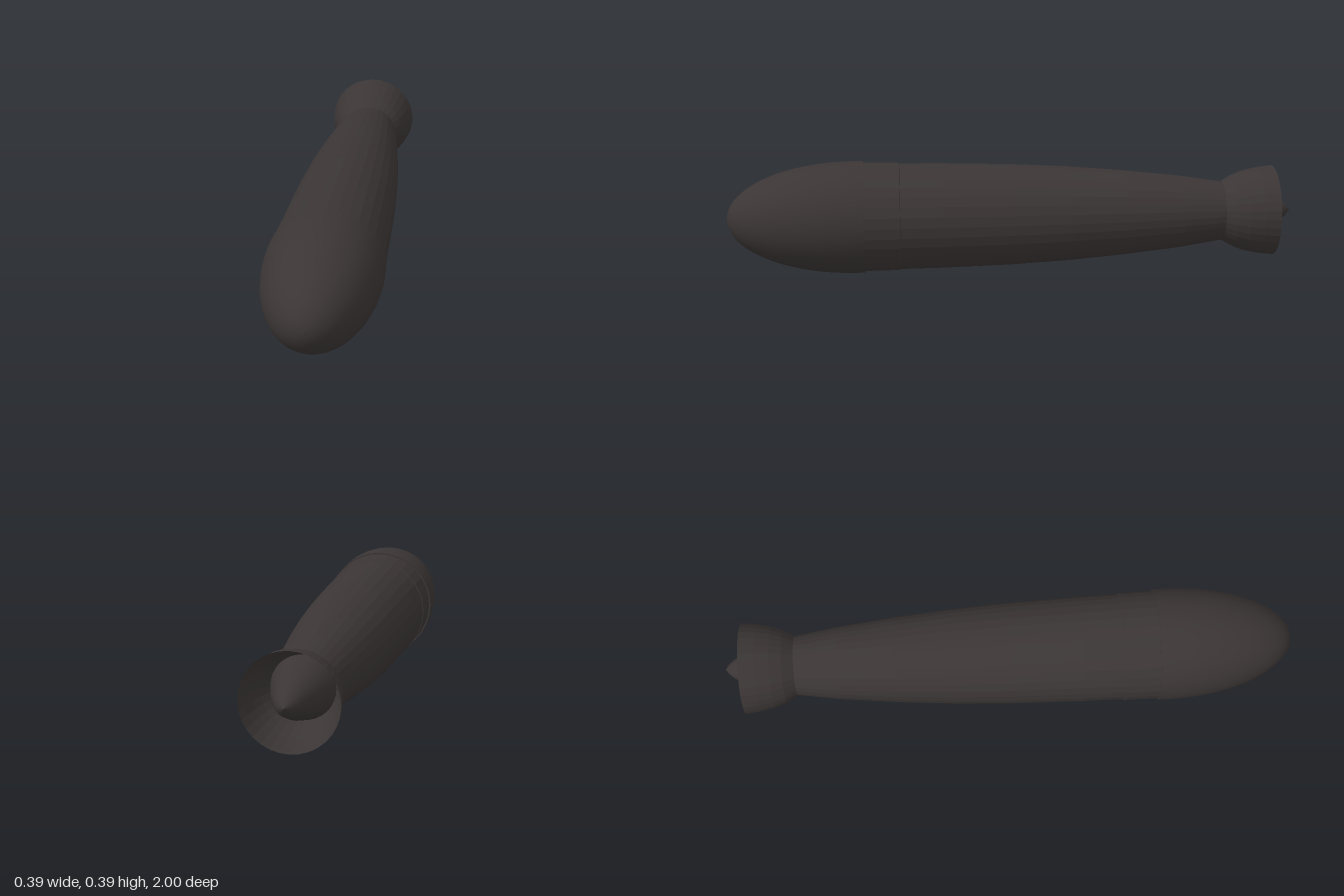
import * as THREE from 'three';

const SIDES = 32;

export function createModel() {
  const group = new THREE.Group();
  group.name = 'torpedo';
  const darkSteel = new THREE.MeshStandardMaterial({ color: 0x3b3635, side: THREE.DoubleSide });
  darkSteel.name = 'darkSteel';

  // Everything hangs on one axis, turned very slightly sideways
  const hull = new THREE.Group();
  hull.name = 'hull';
  hull.rotation.y = 0.0175;
  hull.position.set(-0.0105, 0.197, 0);
  group.add(hull);

  const add = (name, geometry) => {
    const mesh = new THREE.Mesh(geometry, darkSteel);
    mesh.name = name;
    hull.add(mesh);
    return mesh;
  };

  // Turns a profile of [z, radius], listed from tail to nose, about the z axis
  const turn = (name, profile, faceted = false) => {
    const points = profile.map(([z, r]) => new THREE.Vector2(r, z));
    let geometry = new THREE.LatheGeometry(points, SIDES).rotateX(Math.PI / 2);
    if (faceted) {
      geometry = geometry.toNonIndexed();
      geometry.computeVertexNormals();
    }
    return add(name, geometry);
  };

  // Rounded nose: half an ellipse with a short tail-ward continuation
  const nose = [];
  const start = -0.08;
  for (let i = 0; i <= 20; i++) {
    const a = start + (Math.PI / 2 - start) * (i / 20);
    nose.push([0.555 + 0.445 * Math.sin(a), Math.max(0, 0.197 * Math.cos(a))]);
  }
  turn('nose', nose);

  // Step where the nose overhangs the body
  const rim = add('noseRim', new THREE.RingGeometry(0.18, 0.196, SIDES));
  rim.position.z = nose[0][0];

  // Collar behind the nose
  turn('collar', [[0.395, 0.185], [0.397, 0.19], [0.53, 0.191]], true);

  // Long tapering body
  turn('body', [
    [-0.76, 0.103], [-0.6, 0.128], [-0.4, 0.15], [-0.2, 0.167],
    [0, 0.178], [0.25, 0.185], [0.53, 0.188],
  ], true);

  // Tail cone inside the shroud
  turn('tailCone', [
    [-1, 0], [-0.985, 0.02], [-0.965, 0.036], [-0.935, 0.048], [-0.85, 0.079], [-0.75, 0.105],
  ]);

  // Open flared shroud at the tail
  turn('tailShroud', [
    [-0.935, 0.16], [-0.88, 0.154], [-0.83, 0.143], [-0.79, 0.128], [-0.75, 0.104],
  ], true);

  return group;
}
